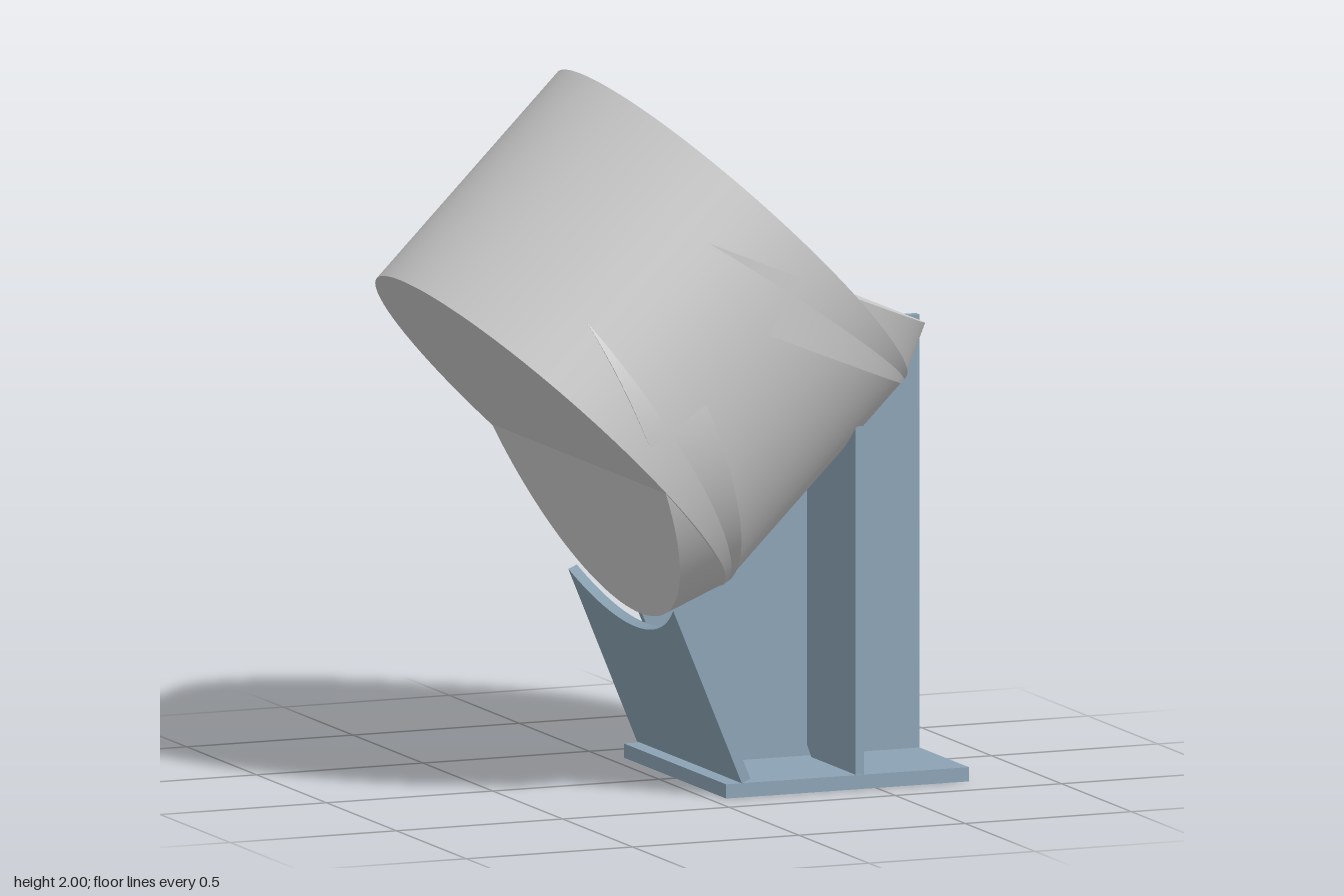
import * as THREE from 'three';

const RAD = Math.PI / 180;
const R = 0.642; // pipe radius

export function createModel() {
  const model = new THREE.Group();
  const pipeMat = new THREE.MeshStandardMaterial({ color: 0xcccccc });
  const steelMat = new THREE.MeshStandardMaterial({ color: 0x8ba3b5 });

  const add = (name, geometry, material) => {
    const mesh = new THREE.Mesh(geometry, material);
    mesh.name = name;
    model.add(mesh);
    return mesh;
  };

  // Pipe segment whose underside starts at (x, y) and runs along the given angle
  const pipe = (name, x, y, angle, length) => {
    const c = Math.cos(angle * RAD), s = Math.sin(angle * RAD);
    const mesh = add(name, new THREE.CylinderGeometry(R, R, length, 128), pipeMat);
    mesh.position.set(x + c * length / 2 - s * R, y + s * length / 2 + c * R, 0);
    mesh.rotation.z = (angle - 90) * RAD;
  };

  // Plate drawn in (z, height), thickened towards -x, leaning by tilt
  const crossPlate = (name, points, depth, x, y, tilt) => {
    const shape = new THREE.Shape(points.map(p => new THREE.Vector2(p[0], p[1])));
    const mesh = add(name, new THREE.ExtrudeGeometry(shape, { depth, bevelEnabled: false }), steelMat);
    mesh.position.set(x, y, 0);
    mesh.rotation.set(0, -Math.PI / 2, tilt * RAD, 'ZYX');
  };

  // Elbow: middle segment with a short segment at each end
  const A = [0.1285, 0.5475], B = [0.673, 1.092];
  const c = Math.cos(22.5 * RAD), s = Math.sin(22.5 * RAD), endLen = 0.2;
  const foot = [A[0] - endLen * c, A[1] - endLen * s];
  pipe('elbowMiddle', A[0], A[1], 45, 0.77);
  pipe('elbowUpperEnd', B[0], B[1], 67.5, 0.18);
  pipe('elbowLowerEnd', foot[0], foot[1], 22.5, endLen);

  // Base plate
  add('basePlate', new THREE.BoxGeometry(0.73, 0.04, 0.73), steelMat).position.set(0.413, 0.02, 0);

  // Central web following the pipe, with round relief holes at the joints
  const web = new THREE.Shape();
  web.moveTo(0.123, 0.04);
  web.lineTo(foot[0], foot[1]);
  web.absarc(A[0], A[1], 0.028, 202.5 * RAD, 405 * RAD, false);
  web.absarc(B[0], B[1], 0.028, 225 * RAD, 427.5 * RAD, false);
  web.lineTo(0.743, 1.258);
  web.lineTo(0.778, 1.258);
  web.lineTo(0.778, 0.04);
  const webGeo = new THREE.ExtrudeGeometry(web, { depth: 0.025, bevelEnabled: false, curveSegments: 16 });
  webGeo.translate(0, 0, -0.0125);
  add('centralWeb', webGeo, steelMat);

  // Cross ribs on both sides of the web, coped to the pipe with snipped inner corners
  const ribX = 0.4525, ribBase = ribX + A[1] - A[0];
  for (const side of [1, -1]) {
    const pts = [[0.0125, 0.07], [0.0425, 0.04], [0.36, 0.04]];
    for (let i = 0; i <= 16; i++) {
      const z = 0.36 - i * (0.36 - 0.04) / 16;
      pts.push([z, ribBase - 0.008 + Math.SQRT2 * (R - Math.sqrt(R * R - z * z))]);
    }
    pts.push([0.03, 0.842], [0.0125, 0.835]);
    crossPlate(side > 0 ? 'frontRib' : 'backRib', pts.map(p => [p[0] * side, p[1]]), 0.025, ribX + 0.0125, 0, 0);
  }

  // Leaning saddle plate with a concave top under the lower pipe end
  const saddle = [[-0.375, 0.008], [0.375, 0.008]];
  const cutR = R + 0.028, cutY = (foot[1] - 0.045) / c + R;
  for (let i = 0; i <= 32; i++) {
    const z = 0.375 - i * 0.75 / 32;
    saddle.push([z, cutY - Math.sqrt(cutR * cutR - z * z)]);
  }
  crossPlate('saddlePlate', saddle, 0.028, foot[0] + (foot[1] - 0.045) * s / c, 0.045, 22.5);

  return model;
}
